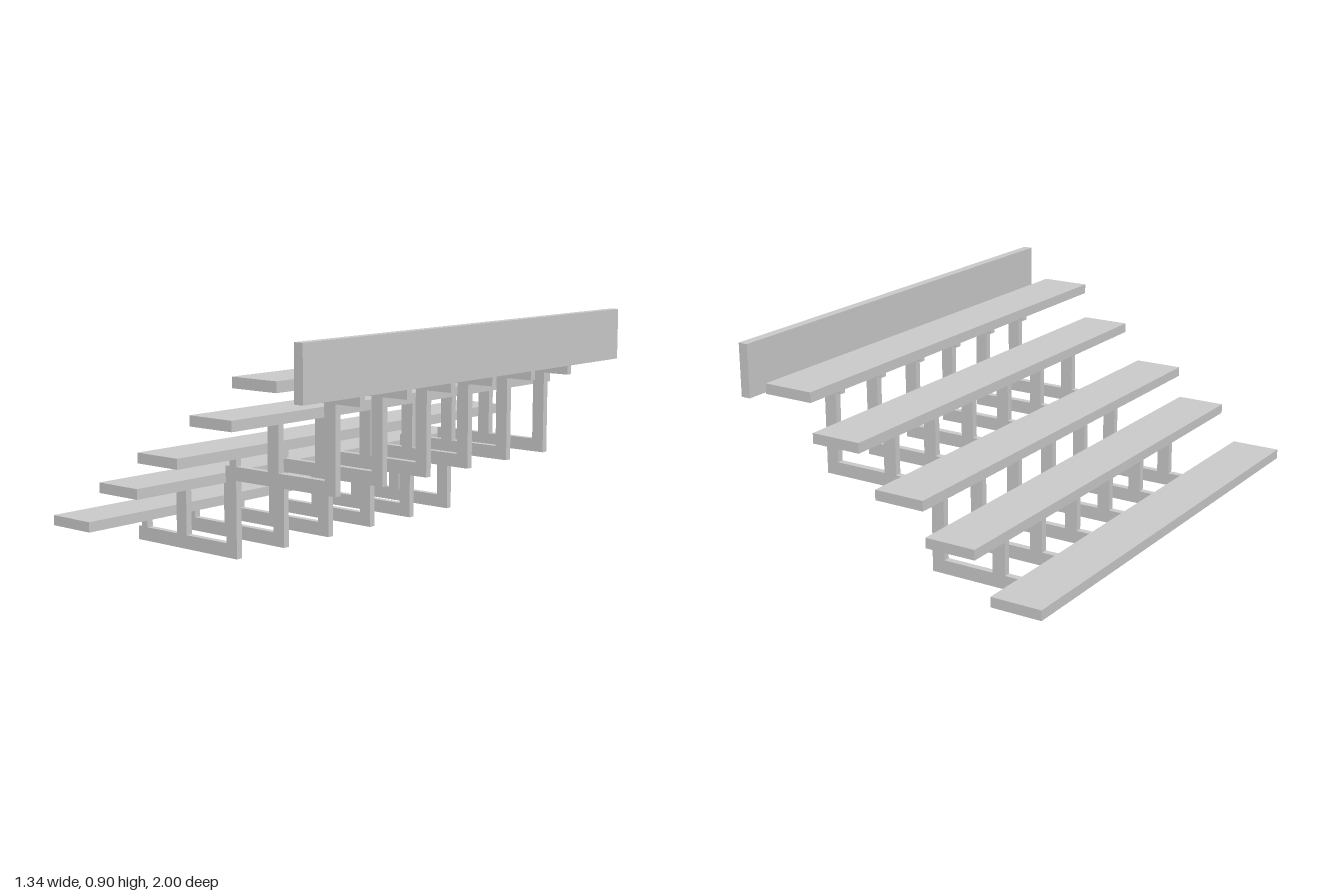
import * as THREE from 'three';

const material = new THREE.MeshStandardMaterial({ color: 0xcccccc, flatShading: true });

// Box given by its x, y extents, centred on z
function slab(name, x0, x1, y0, y1, depth) {
  const mesh = new THREE.Mesh(new THREE.BoxGeometry(x1 - x0, y1 - y0, depth), material);
  mesh.position.set((x0 + x1) / 2, (y0 + y1) / 2, 0);
  mesh.name = name;
  return mesh;
}

export function createModel() {
  const model = new THREE.Group();
  model.name = 'bleachers';
  const length = 2, barWidth = 0.028;

  // Five stepped bench planks: [left x, bottom y]
  const planks = [[-0.672, 0.09], [-0.392, 0.255], [-0.17, 0.395], [0.113, 0.562], [0.331, 0.719]];
  planks.forEach(([x, y], i) =>
    model.add(slab(`benchPlank${i + 1}`, x, x + 0.214, y, y + 0.041, length)));

  // Upright board behind the top row
  model.add(slab('backBoard', 0.628, 0.668, 0.687, 0.9, length));

  // Stepped support: beams and risers as one profile
  const outline = [
    [-0.534, 0], [0.025, 0], [0.025, 0.307], [0.53, 0.307], [0.53, 0.646], [0.646, 0.646],
    [0.646, 0.701], [0.452, 0.701], [0.452, 0.646], [0.476, 0.646], [0.476, 0.361],
    [-0.031, 0.361], [-0.031, 0.056], [-0.534, 0.056],
  ];
  const shape = new THREE.Shape(outline.map(([x, y]) => new THREE.Vector2(x, y)));
  const frameGeometry = new THREE.ExtrudeGeometry(shape, { depth: barWidth, bevelEnabled: false });
  frameGeometry.translate(0, 0, -barWidth / 2);

  // Posts and short spacers carrying the planks
  const posts = [
    ['frontSpacer', -0.515, -0.481, 0.056, 0.09],
    ['lowerPost', -0.309, -0.253, 0.056, 0.255],
    ['middleSpacer', -0.011, 0.025, 0.361, 0.395],
    ['upperPost', 0.192, 0.248, 0.361, 0.562],
    ['topSpacer', 0.49, 0.524, 0.701, 0.719],
  ];

  // Six identical supports along the length
  for (let i = 0; i < 6; i++) {
    const support = new THREE.Group();
    support.name = `support${i + 1}`;
    const frame = new THREE.Mesh(frameGeometry, material);
    frame.name = 'steppedFrame';
    support.add(frame);
    for (const post of posts) support.add(slab(...post, barWidth));
    support.position.z = (i - 2.5) * 0.265;
    model.add(support);
  }
  return model;
}
